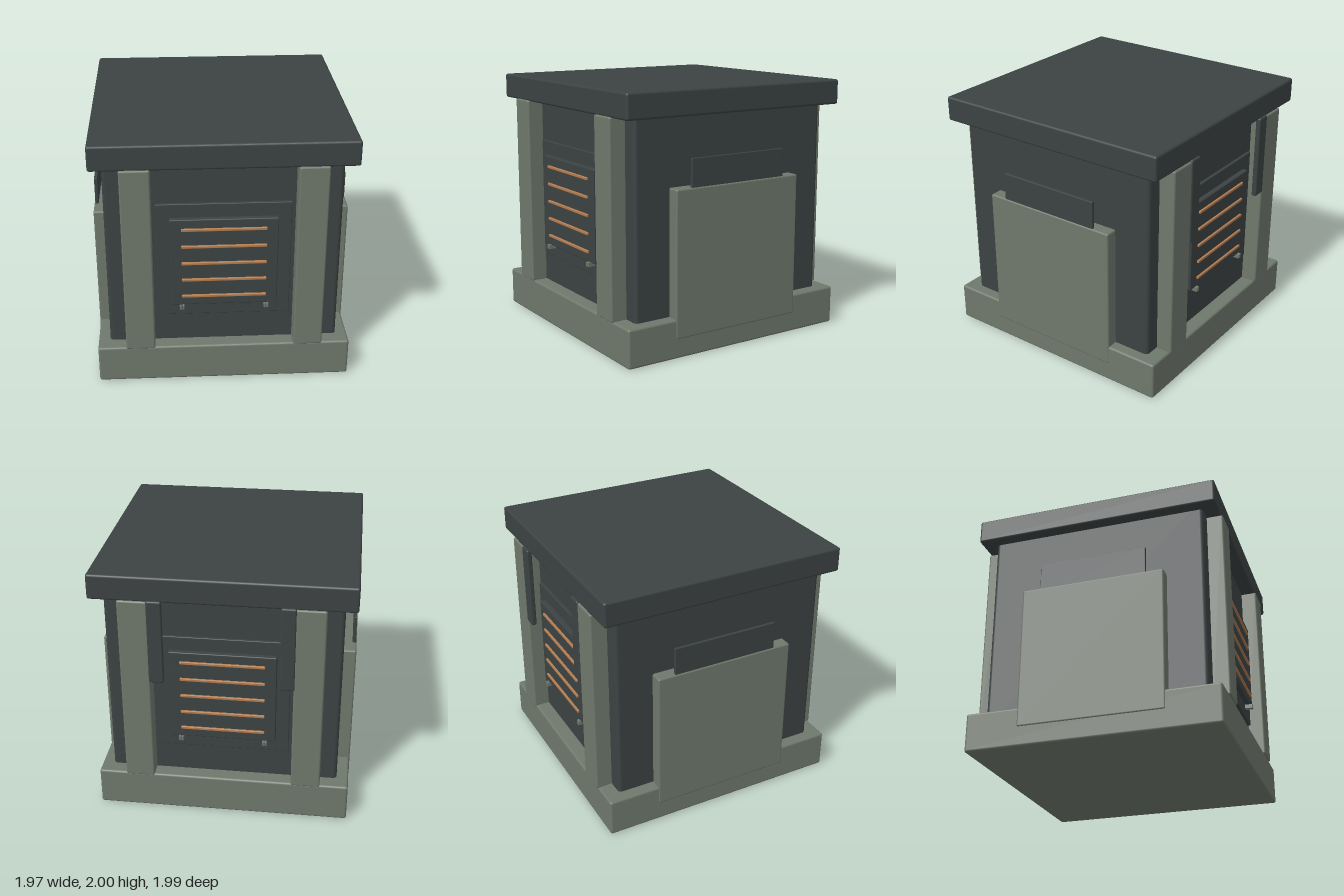
import * as THREE from 'three';
import { RoundedBoxGeometry } from 'three/addons/geometries/RoundedBoxGeometry.js';

function flat(name, color) {
  const m = new THREE.MeshStandardMaterial({ color });
  m.name = name;
  return m;
}

export function createModel() {
  const dark = flat('charcoal', 0x3c4243);
  const stone = flat('grey green', 0x6f786c);
  const copper = flat('copper', 0xb37c50);

  // Softened box given by its min and max corners
  function block(parent, name, mat, [x0, y0, z0], [x1, y1, z1], r = 0.012) {
    const mesh = new THREE.Mesh(new RoundedBoxGeometry(x1 - x0, y1 - y0, z1 - z0, 3, r), mat);
    mesh.position.set((x0 + x1) / 2, (y0 + y1) / 2, (z0 + z1) / 2);
    mesh.name = name;
    parent.add(mesh);
    return mesh;
  }

  const model = new THREE.Group();
  model.name = 'ventilationUnit';

  // Main stack
  block(model, 'base', stone, [-0.978, 0, -0.978], [0.978, 0.303, 0.978], 0.018);
  block(model, 'body', dark, [-0.887, 0.2, -0.862], [0.887, 1.9, 0.862], 0.03);
  block(model, 'lid', dark, [-0.978, 1.805, -0.978], [0.978, 2, 0.978], 0.018);

  // Vent face with pillars, repeated front and back
  for (const back of [false, true]) {
    const face = new THREE.Group();
    face.name = back ? 'backFace' : 'frontFace';
    face.rotation.y = back ? Math.PI : 0;
    model.add(face);

    block(face, 'ventFrame', dark, [-0.505, 0.54, 0.84], [0.505, 1.49, 0.885], 0.006);
    block(face, 'ventPanel', dark, [-0.405, 0.65, 0.86], [0.405, 1.38, 0.925], 0.008);

    // Horizontal slats
    for (let i = 0; i < 5; i++) {
      const slat = block(face, 'slat', copper, [-0.32, 0, 0.91], [0.32, 0.022, 0.94], 0.005);
      slat.position.y = 0.73 + i * 0.142;
    }

    for (const s of [-1, 1]) {
      const x = s * 0.647;
      block(face, 'pillar', stone, [x - 0.112, 0.295, 0.85], [x + 0.112, 1.812, 0.99], 0.014);
      // Small paired pegs under the vent panel
      for (const d of [-0.01, 0.01]) {
        const p = s * 0.322 + d;
        block(face, 'peg', stone, [p - 0.008, 0.615, 0.88], [p + 0.008, 0.652, 0.945], 0.003);
      }
      // Hanging strips beside the back pillars
      if (back) {
        const c = s * 0.487;
        block(face, 'hangingStrip', dark, [c - 0.056, 1.15, 0.955], [c + 0.056, 1.82, 0.997], 0.012);
      }
    }
  }

  // Side shields with a thin plate rising from each
  for (const s of [-1, 1]) {
    const side = new THREE.Group();
    side.name = s > 0 ? 'leftSide' : 'rightSide';
    side.rotation.y = s > 0 ? 0 : Math.PI;
    model.add(side);
    block(side, 'sideShield', stone, [0.87, 0.15, -0.567], [0.983, 1.283, 0.567], 0.014);
    block(side, 'sidePlate', dark, [0.95, 1.2, -0.425], [0.975, 1.498, 0.425], 0.004);
  }

  return model;
}
